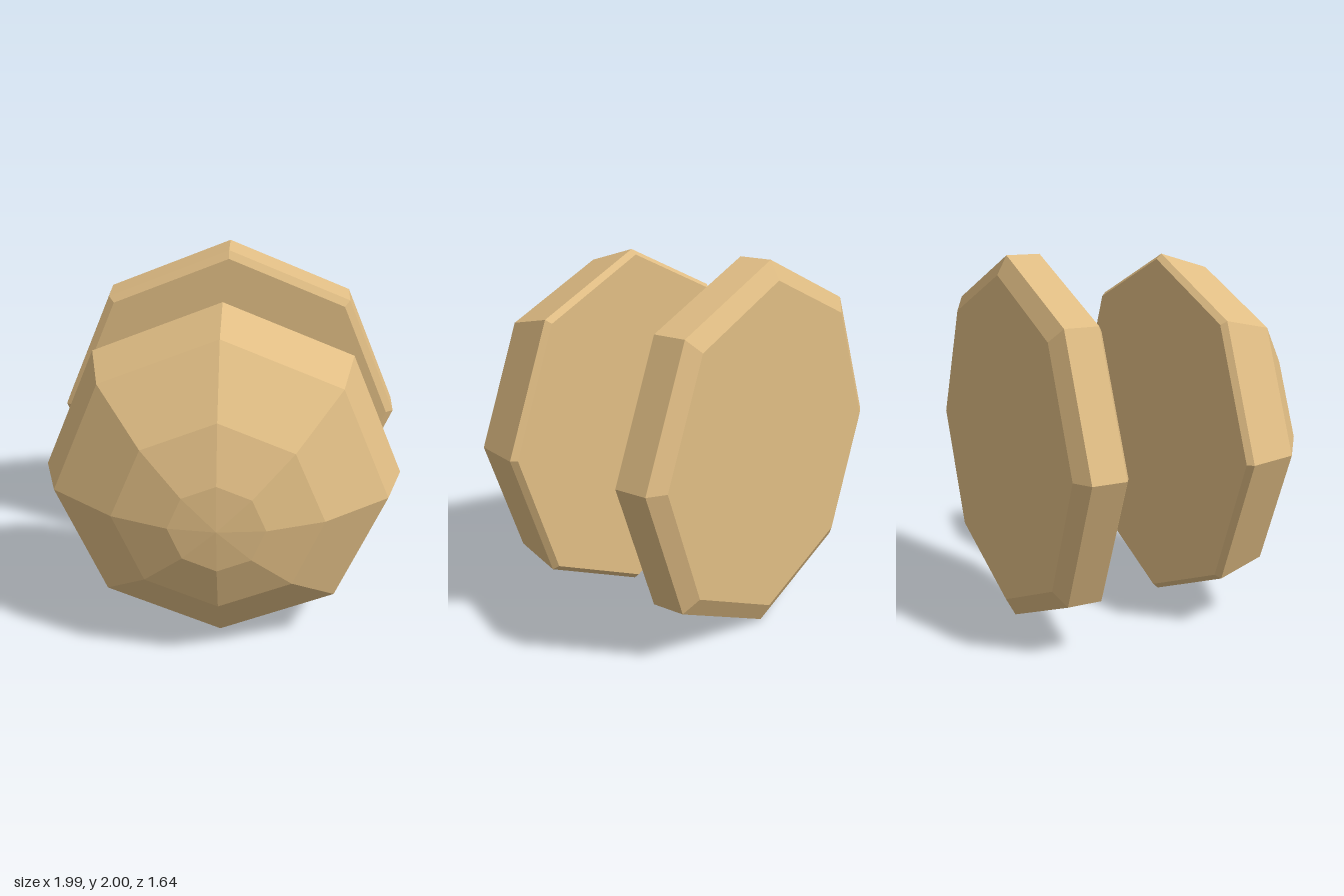
import * as THREE from 'three';

// Eight-sided solid turned about the z axis; profile is [radius, z] from back to front
function turned(name, profile, y, material) {
  const points = profile.map(([r, z]) => new THREE.Vector2(r, z));
  const geometry = new THREE.LatheGeometry(points, 8);
  geometry.rotateX(Math.PI / 2);
  const mesh = new THREE.Mesh(geometry, material);
  mesh.name = name;
  mesh.position.y = y;
  return mesh;
}

export function createModel() {
  const group = new THREE.Group();
  group.name = 'bun';
  const crust = new THREE.MeshStandardMaterial({ color: 0xe0bd84, flatShading: true });

  // Domed upper half, tipped very slightly forward
  const top = turned('topBun', [
    [0, 0.118], [0.955, 0.118], [0.983, 0.148], [0.898, 0.435],
    [0.557, 0.69], [0.255, 0.796], [0, 0.82],
  ], 0.988, crust);
  top.rotation.x = 0.007;

  // Flat lower half with bevelled rims
  const bottom = turned('bottomBun', [
    [0, -0.82], [0.895, -0.82], [0.995, -0.766], [0.995, -0.58],
    [0.952, -0.553], [0, -0.553],
  ], 1.005, crust);

  group.add(top, bottom);
  return group;
}
